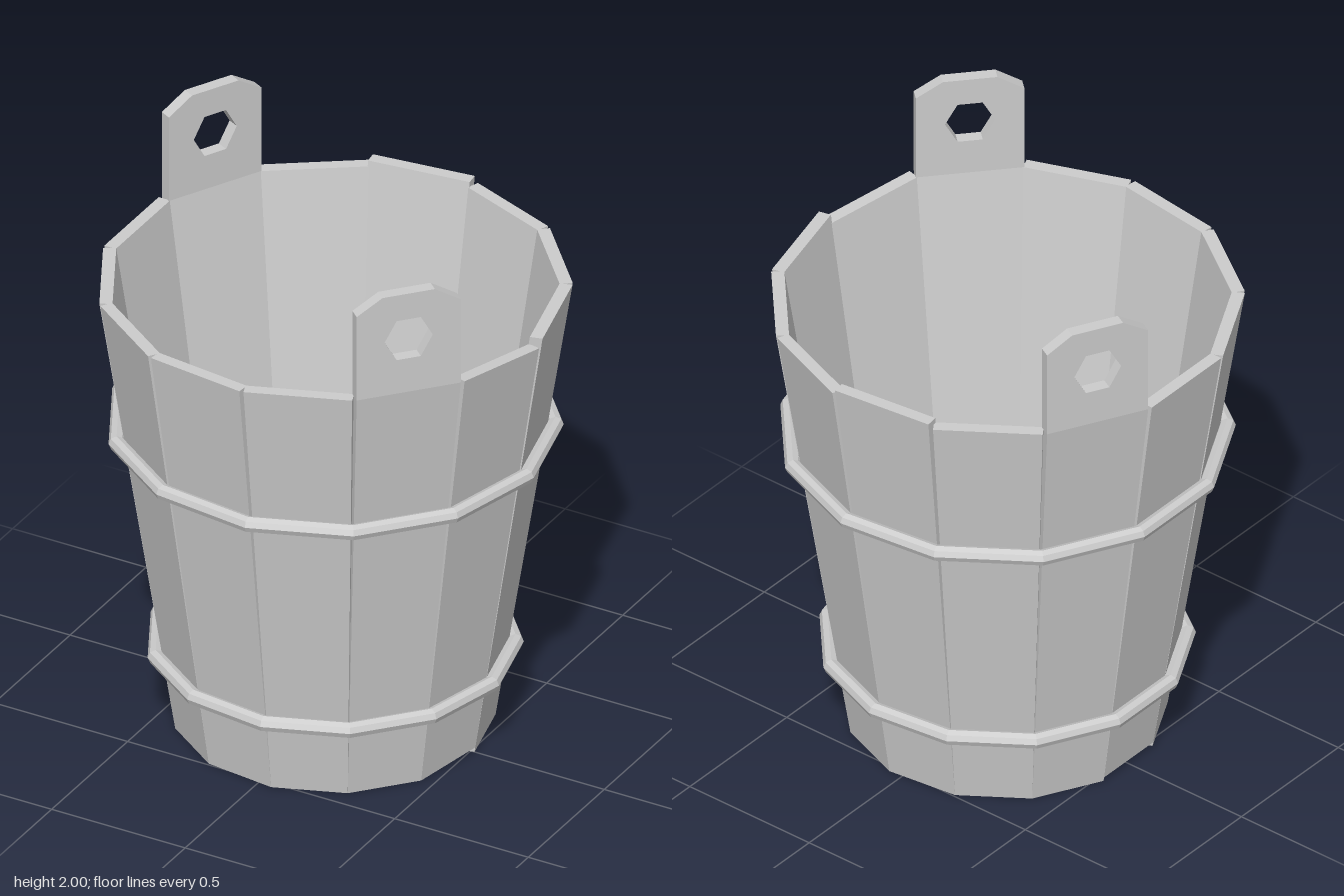
import * as THREE from 'three';

const SIDES = 13;
const STEP = (Math.PI * 2) / SIDES;
const RIM = 1.63; // height of the staves
const THICK = 0.043;
const wood = new THREE.MeshStandardMaterial({ color: 0xcccccc, flatShading: true });

// Distance from the axis to the outer face of a stave at height y
const outerFace = (y) => 0.512 + (0.245 * y) / RIM;
const halfWidth = (y) => 0.126 + (0.053 * y) / RIM;

// Leaning, tapering plank; bottom and top heights are [at -x, at +x]
function staveGeometry(bottom, top) {
  const geo = new THREE.BoxGeometry(2, 1, 1);
  const p = geo.attributes.position;
  for (let i = 0; i < p.count; i++) {
    const side = p.getX(i) > 0 ? 1 : 0;
    const y = (p.getY(i) > 0 ? top : bottom)[side];
    const inset = p.getZ(i) > 0 ? 0 : THICK;
    p.setXYZ(i, p.getX(i) * halfWidth(y), y, outerFace(y) - inset);
  }
  geo.computeVertexNormals();
  return geo;
}

// Upright tab with clipped corners and a hexagonal hole
function tabGeometry() {
  const w = halfWidth(RIM);
  const shape = new THREE.Shape([
    [-w, RIM], [w, RIM], [w, 1.945], [0.09, 2], [-0.09, 2], [-w, 1.945],
  ].map(([x, y]) => new THREE.Vector2(x, y)));
  const hole = [];
  for (let i = 0; i < 6; i++) {
    const a = (-i * Math.PI) / 3;
    hole.push(new THREE.Vector2(0.083 * Math.cos(a), 1.83 + 0.085 * Math.sin(a)));
  }
  shape.holes.push(new THREE.Path(hole));
  const geo = new THREE.ExtrudeGeometry(shape, { depth: THICK, bevelEnabled: false });
  geo.translate(0, 0, outerFace(RIM) - THICK);
  return geo;
}

function addMesh(parent, name, geo) {
  const mesh = new THREE.Mesh(geo, wood);
  mesh.name = name;
  parent.add(mesh);
  return mesh;
}

export function createModel() {
  const bucket = new THREE.Group();
  bucket.name = 'bucket';

  // Staves, a few of them cut unevenly
  const uneven = {
    0: [[0, 0.018], [RIM, 1.6]],
    6: [[0.015, 0.015], [RIM, RIM]],
    9: [[0, 0], [1.65, 1.65]],
  };
  const handles = [1, 7];
  for (let k = 0; k < SIDES; k++) {
    const stave = new THREE.Group();
    stave.name = handles.includes(k) ? 'handleStave' : 'stave';
    stave.rotation.y = Math.PI / 2 - (k + 0.5) * STEP;
    const [bottom, top] = uneven[k] || [[0, 0], [RIM, RIM]];
    addMesh(stave, 'plank', staveGeometry(bottom, top));
    if (handles.includes(k)) addMesh(stave, 'handleTab', tabGeometry());
    bucket.add(stave);
  }

  // Floor, set a little above the lower edge
  const floorGeo = new THREE.CylinderGeometry(0.504, 0.5, 0.03, SIDES);
  floorGeo.rotateY(Math.PI / 2);
  addMesh(bucket, 'floor', floorGeo).position.y = 0.095;

  // Hoops, with corners on the seams
  for (const [name, y, radius] of [['lowerHoop', 0.277, 0.592], ['upperHoop', 1.1, 0.722]]) {
    const hoop = new THREE.TorusGeometry(radius, 0.027, 8, SIDES);
    hoop.rotateX(Math.PI / 2);
    addMesh(bucket, name, hoop).position.y = y;
  }

  // An odd number of sides puts the axis slightly off centre
  bucket.position.x = -0.013;
  const model = new THREE.Group();
  model.name = 'woodenBucket';
  model.add(bucket);
  return model;
}
